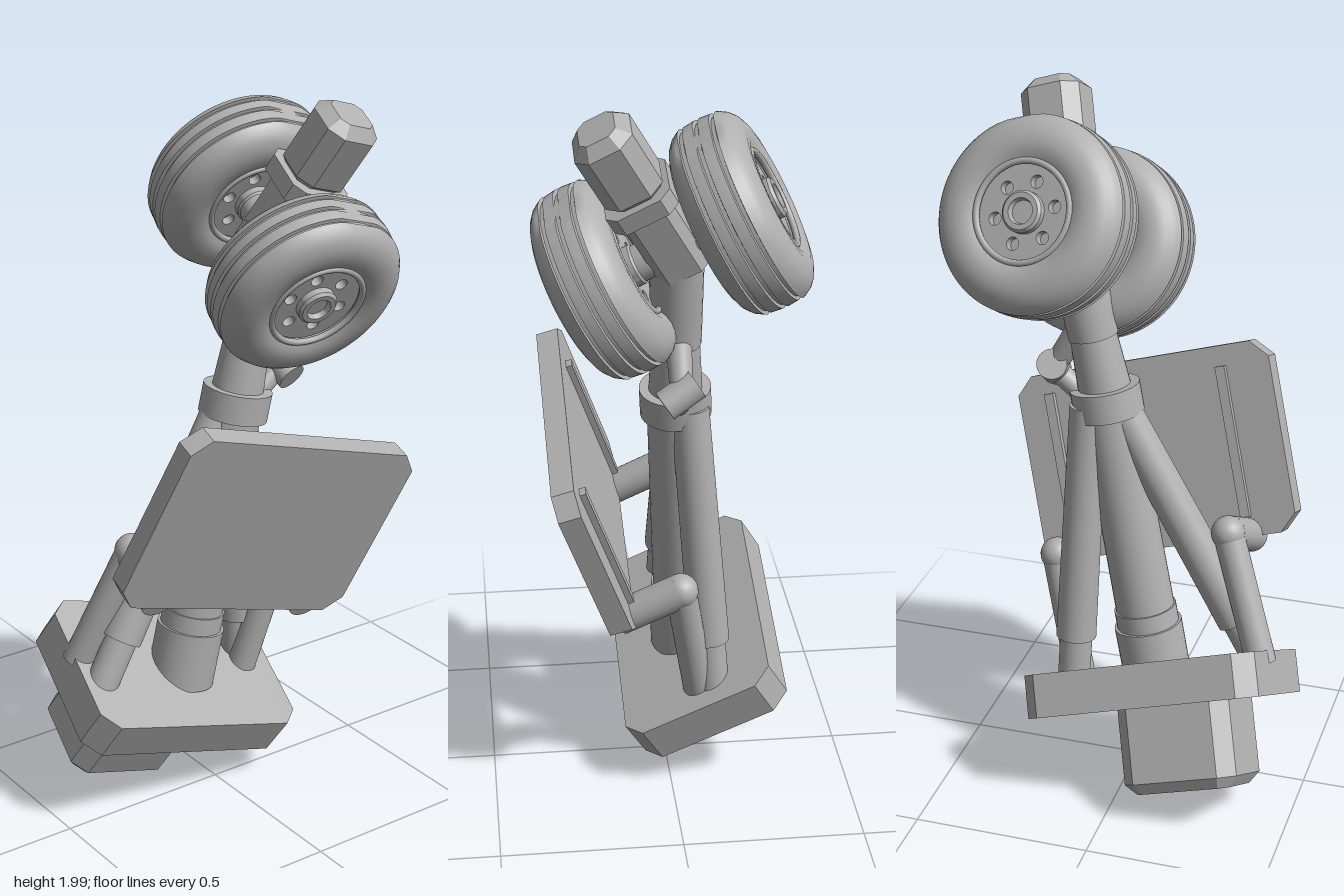
import * as THREE from 'three';
import { toCreasedNormals } from 'three/addons/utils/BufferGeometryUtils.js';

const V = (x, y, z) => new THREE.Vector3(x, y, z);

export function createModel() {
  const root = new THREE.Group();
  root.name = 'landingGear';
  const grey = new THREE.MeshStandardMaterial({ color: 0xb0b0b0 });
  grey.name = 'plain grey';

  const add = (parent, name, geometry, x = 0, y = 0, z = 0) => {
    const mesh = new THREE.Mesh(geometry, grey);
    mesh.name = name;
    mesh.position.set(x, y, z);
    parent.add(mesh);
    return mesh;
  };

  // Round bar between two points
  const bar = (name, a, b, r0, r1 = r0) => {
    const dir = b.clone().sub(a);
    const mesh = add(root, name, new THREE.CylinderGeometry(r1, r0, dir.length(), 32));
    mesh.position.copy(a).add(b).multiplyScalar(0.5);
    mesh.quaternion.setFromUnitVectors(V(0, 1, 0), dir.normalize());
    return mesh;
  };

  // Block with cut corners, thickness along z, optionally bevelled rims
  const block = (w, h, t, cut, bevel = 0) => {
    const x = w / 2 - bevel, y = h / 2 - bevel, c = cut;
    const shape = new THREE.Shape([
      [x - c, -y], [x, -y + c], [x, y - c], [x - c, y],
      [-x + c, y], [-x, y - c], [-x, -y + c], [-x + c, -y],
    ].map(([px, py]) => new THREE.Vector2(px, py)));
    const g = new THREE.ExtrudeGeometry(shape, {
      depth: t - 2 * bevel, bevelEnabled: bevel > 0,
      bevelSize: bevel, bevelThickness: bevel, bevelSegments: 1,
    });
    return g.translate(0, 0, -t / 2 + bevel);
  };
  const upright = (...args) => block(...args).rotateX(-Math.PI / 2);

  // Tilted frame carrying mount, door and wheels
  const tilted = new THREE.Group();
  tilted.name = 'tiltedAssembly';
  tilted.rotation.set(0.508, 0, -0.291, 'ZXY');
  root.add(tilted);

  // Mounting plate and the box beneath it
  add(tilted, 'mountPlate', upright(0.693, 0.453, 0.122, 0.05), -0.192, 0.201, -0.225);
  add(tilted, 'mountBox', upright(0.335, 0.275, 0.27, 0.025, 0.03), -0.253, 0.035, -0.225);

  // Door panel with two ribs on its inner face
  const door = new THREE.Group();
  door.name = 'door';
  door.position.set(-0.248, 0.86, -0.226);
  door.rotation.x = -0.19;
  tilted.add(door);
  add(door, 'doorPanel', block(0.775, 0.545, 0.062, 0.05));
  for (const x of [-0.245, 0.285]) {
    add(door, 'doorRib', new THREE.BoxGeometry(0.028, 0.43, 0.03), x, 0, -0.033);
  }

  // Axle beam, flange and end cap
  const ax = -0.286, ay = 1.409, az = -0.786;
  add(tilted, 'axleBeam', upright(0.14, 0.14, 0.24, 0.025), ax, 1.47, az);
  add(tilted, 'capFlange', upright(0.19, 0.18, 0.05, 0.03), ax, 1.59, az);
  add(tilted, 'endCap', upright(0.17, 0.16, 0.22, 0.02, 0.03), ax, 1.71, az);
  add(tilted, 'axle', new THREE.CylinderGeometry(0.05, 0.05, 0.4, 32).rotateX(Math.PI / 2), ax, ay, az);

  // Tyre section: rounded walls and three tread grooves
  const half = [[0.13, 0.07], [0.137, 0.092], [0.155, 0.101], [0.18, 0.104], [0.205, 0.1],
    [0.228, 0.09], [0.245, 0.075], [0.254, 0.06]];
  const section = half.map(([r, a]) => [r, -a]);
  for (const a of [-0.044, 0, 0.044]) {
    const r = a ? 0.259 : 0.262;
    section.push([r, a - 0.007], [r - 0.01, a - 0.005], [r - 0.01, a + 0.005], [r, a + 0.007]);
  }
  section.push(...half.reverse());
  const tyreGeo = new THREE.LatheGeometry(section.map(([r, a]) => new THREE.Vector2(r, a)), 96);
  tyreGeo.rotateX(Math.PI / 2);
  // Flat contact patch
  const p = tyreGeo.attributes.position;
  for (let i = 0; i < p.count; i++) p.setY(i, Math.min(p.getY(i), 0.2525));
  const tyre = toCreasedNormals(tyreGeo, 0.6);

  // Hub face with six round holes
  const face = new THREE.Shape().absarc(0, 0, 0.128, 0, Math.PI * 2);
  for (let i = 0; i < 6; i++) {
    const t = i * Math.PI / 3;
    face.holes.push(new THREE.Path().absarc(0.084 * Math.cos(t), 0.084 * Math.sin(t), 0.017, 0, Math.PI * 2, true));
  }
  const hubFace = new THREE.ExtrudeGeometry(face, { depth: 0.025, bevelEnabled: false, curveSegments: 24 });
  const boss = toCreasedNormals(new THREE.LatheGeometry(
    [[0.055, 0], [0.055, 0.018], [0.048, 0.026], [0.034, 0.026], [0.03, 0.01], [0, 0.01]]
      .map(([r, a]) => new THREE.Vector2(r, a)), 40).rotateX(Math.PI / 2), 0.6);

  // Two wheels, each with a hub on both sides
  for (const side of [1, -1]) {
    const wheel = new THREE.Group();
    wheel.name = side > 0 ? 'frontWheel' : 'rearWheel';
    wheel.position.set(ax, ay, az + side * 0.199);
    tilted.add(wheel);
    add(wheel, 'tyre', tyre);
    add(wheel, 'hubCore', new THREE.CylinderGeometry(0.132, 0.132, 0.1, 48).rotateX(Math.PI / 2));
    for (const turn of [0, Math.PI]) {
      const hub = new THREE.Group();
      hub.name = 'hub';
      hub.rotation.y = turn;
      wheel.add(hub);
      add(hub, 'hubFace', hubFace, 0, 0, 0.052);
      add(hub, 'hubBoss', boss, 0, 0, 0.077);
      add(hub, 'rimLip', new THREE.TorusGeometry(0.131, 0.009, 10, 56), 0, 0, 0.09);
    }
  }

  // Main leg: sleeve, tapered tube, collar, piston and upper cylinder
  const foot = V(-0.078, 0.33, -0.065), neck = V(0.085, 1.17, -0.02), top = V(0.188, 1.65, -0.012);
  const along = (a, b, t) => a.clone().lerp(b, t);
  bar('legSleeve', foot, along(foot, neck, 0.2), 0.096);
  bar('legRing', along(foot, neck, 0.19), along(foot, neck, 0.26), 0.088);
  bar('legTube', along(foot, neck, 0.1), neck, 0.084, 0.078);
  bar('legCollar', along(foot, neck, 0.94), along(foot, neck, 1.035), 0.097);
  bar('piston', neck, along(neck, top, 0.5), 0.074, 0.06);
  bar('upperCylinder', along(neck, top, 0.36), top, 0.068, 0.073);

  // Side braces with narrower boots
  for (const [name, a, b] of [
    ['rightBrace', V(-0.368, 0.41, -0.03), V(0.045, 1.15, -0.03)],
    ['leftBrace', V(0.157, 0.31, -0.12), V(0.125, 1.15, -0.055)],
  ]) {
    bar(name + 'Boot', a, along(a, b, 0.25), 0.046);
    bar(name, along(a, b, 0.17), b, 0.057, 0.052);
  }

  // Door links: post, elbow and arm reaching the door
  for (const [name, a, b] of [
    ['rightDoor', V(-0.39, 0.46, -0.115), V(-0.265, 0.8, -0.02)],
    ['leftDoor', V(0.15, 0.3, -0.08), V(0.235, 0.655, -0.02)],
  ]) {
    bar(name + 'Post', a, b, 0.043);
    add(root, name + 'Elbow', new THREE.SphereGeometry(0.048, 24, 16), b.x, b.y, b.z);
    bar(name + 'Arm', b, b.clone().add(V(-0.026, -0.088, 0.166)), 0.048);
  }

  // Folding link beside the piston
  const knee = V(0.235, 1.235, -0.02);
  bar('lowerLink', V(0.13, 1.15, -0.02), knee, 0.03);
  bar('upperLink', knee, V(0.16, 1.36, -0.02), 0.03, 0.035);
  bar('linkPin', V(0.243, 1.208, 0.025), V(0.227, 1.262, -0.06), 0.042);

  return root;
}
